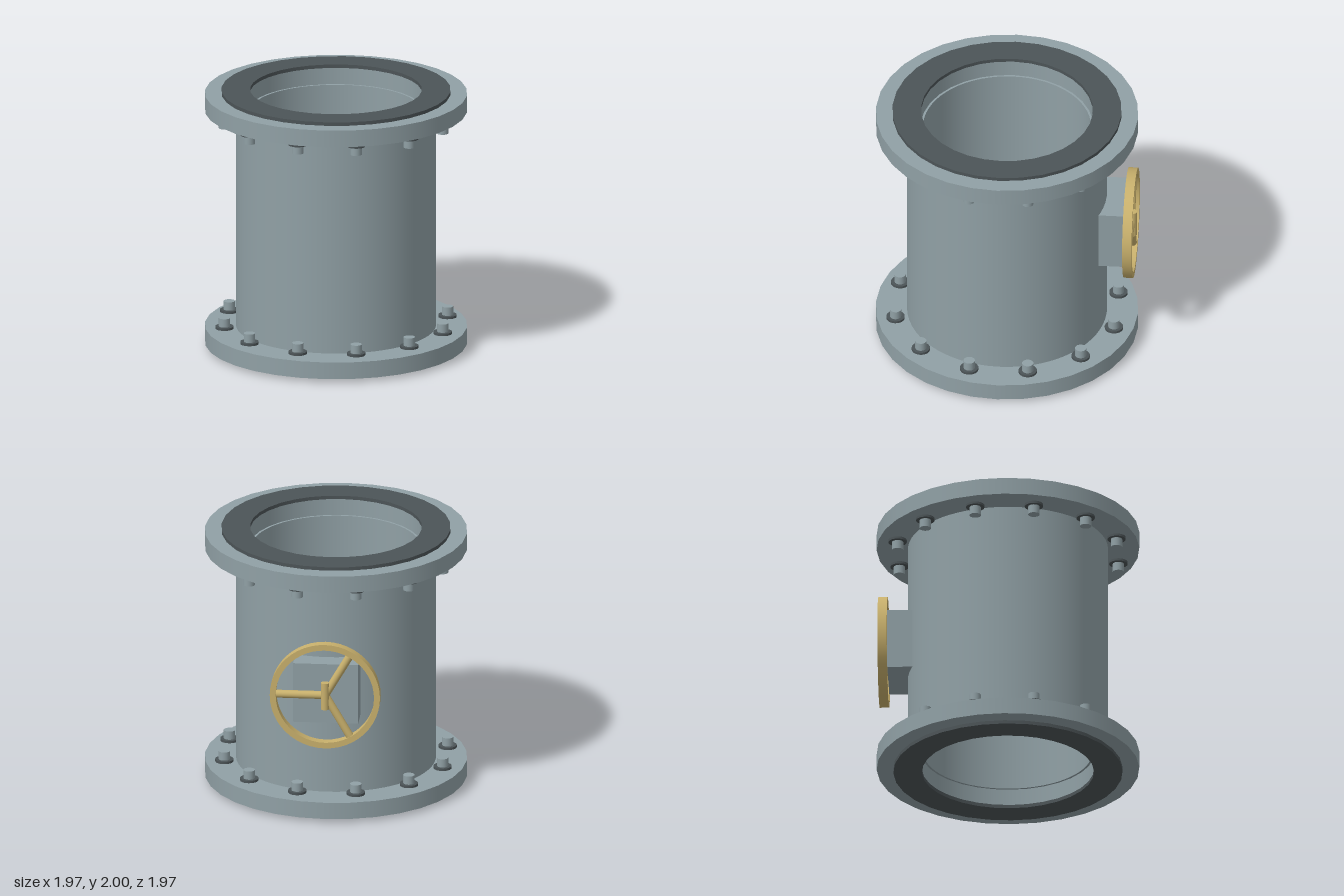
import * as THREE from 'three';

const steel = new THREE.MeshStandardMaterial({ color: 0x90a0a5 });
steel.name = 'greySteel';
const rubber = new THREE.MeshStandardMaterial({ color: 0x4c5457 });
rubber.name = 'darkRubber';
const brass = new THREE.MeshStandardMaterial({ color: 0xc8b06c });
brass.name = 'brass';

// Ring of rectangular section; doubled corner points keep the edges sharp.
function ringGeometry(inner, outer, y0, y1, sides) {
  const corners = [[inner, y0], [outer, y0], [outer, y1], [inner, y1], [inner, y0]];
  const profile = [];
  corners.forEach(([r, y], i) => {
    profile.push(new THREE.Vector2(r, y));
    if (i > 0 && i < corners.length - 1) profile.push(new THREE.Vector2(r, y));
  });
  return new THREE.LatheGeometry(profile, sides);
}

function add(parent, name, geometry, material, x = 0, y = 0, z = 0) {
  const mesh = new THREE.Mesh(geometry, material);
  mesh.name = name;
  mesh.position.set(x, y, z);
  parent.add(mesh);
  return mesh;
}

// Flange, gasket and bolt circle, built for the lower end.
function makePipeEnd() {
  const end = new THREE.Group();
  add(end, 'flange', ringGeometry(0.648, 0.985, 0.027, 0.157, 32), steel);
  add(end, 'gasket', ringGeometry(0.645, 0.86, 0, 0.027, 32), rubber);

  const washer = new THREE.CylinderGeometry(0.069, 0.069, 0.018, 24);
  const head = new THREE.CylinderGeometry(0.043, 0.043, 0.066, 24);
  for (let i = 0; i < 12; i++) {
    const a = ((i + 0.5) * Math.PI) / 6;
    const x = 0.85 * Math.sin(a), z = 0.85 * Math.cos(a);
    add(end, 'washer', washer, rubber, x, 0.183, z);
    add(end, 'boltHead', head, steel, x, 0.224, z);
  }
  return end;
}

// Handwheel in the xy plane: rim, three spokes and a cross pin.
function makeHandwheel() {
  const wheel = new THREE.Group();
  wheel.name = 'handwheel';
  const rim = add(wheel, 'rim', ringGeometry(0.37, 0.415, -0.035, 0.035, 48), brass);
  rim.rotation.x = Math.PI / 2;
  const spoke = new THREE.CylinderGeometry(0.03, 0.03, 0.385, 20).translate(0, 0.1925, 0);
  for (let i = 0; i < 3; i++) {
    add(wheel, 'spoke', spoke, brass).rotation.z = -Math.PI / 2 + (i * 2 * Math.PI) / 3;
  }
  add(wheel, 'hubPin', new THREE.CylinderGeometry(0.031, 0.031, 0.21, 20), brass, 0, 0, -0.016);
  return wheel;
}

export function createModel() {
  const model = new THREE.Group();
  model.name = 'butterflyValve';

  add(model, 'pipeBody', ringGeometry(0.63, 0.75, 0.155, 1.845, 64), steel);

  // Both ends
  const lower = makePipeEnd();
  lower.name = 'lowerEnd';
  const upper = makePipeEnd();
  upper.name = 'upperEnd';
  upper.rotation.x = Math.PI;
  upper.position.y = 2;
  model.add(lower, upper);

  // Closing disc and its shaft inside the pipe
  add(model, 'valveDisc', new THREE.CylinderGeometry(0.62, 0.62, 0.05, 64), steel, 0, 1, 0);
  const shaft = add(model, 'valveShaft', new THREE.CylinderGeometry(0.085, 0.085, 1.24, 32), steel, 0, 1, 0);
  shaft.rotation.x = Math.PI / 2;

  // Gearbox and handwheel on the back
  add(model, 'gearbox', new THREE.BoxGeometry(0.49, 0.47, 0.32), steel, 0, 1.002, -0.738);
  const wheel = makeHandwheel();
  wheel.position.set(0, 1.002, -0.932);
  model.add(wheel);

  return model;
}
